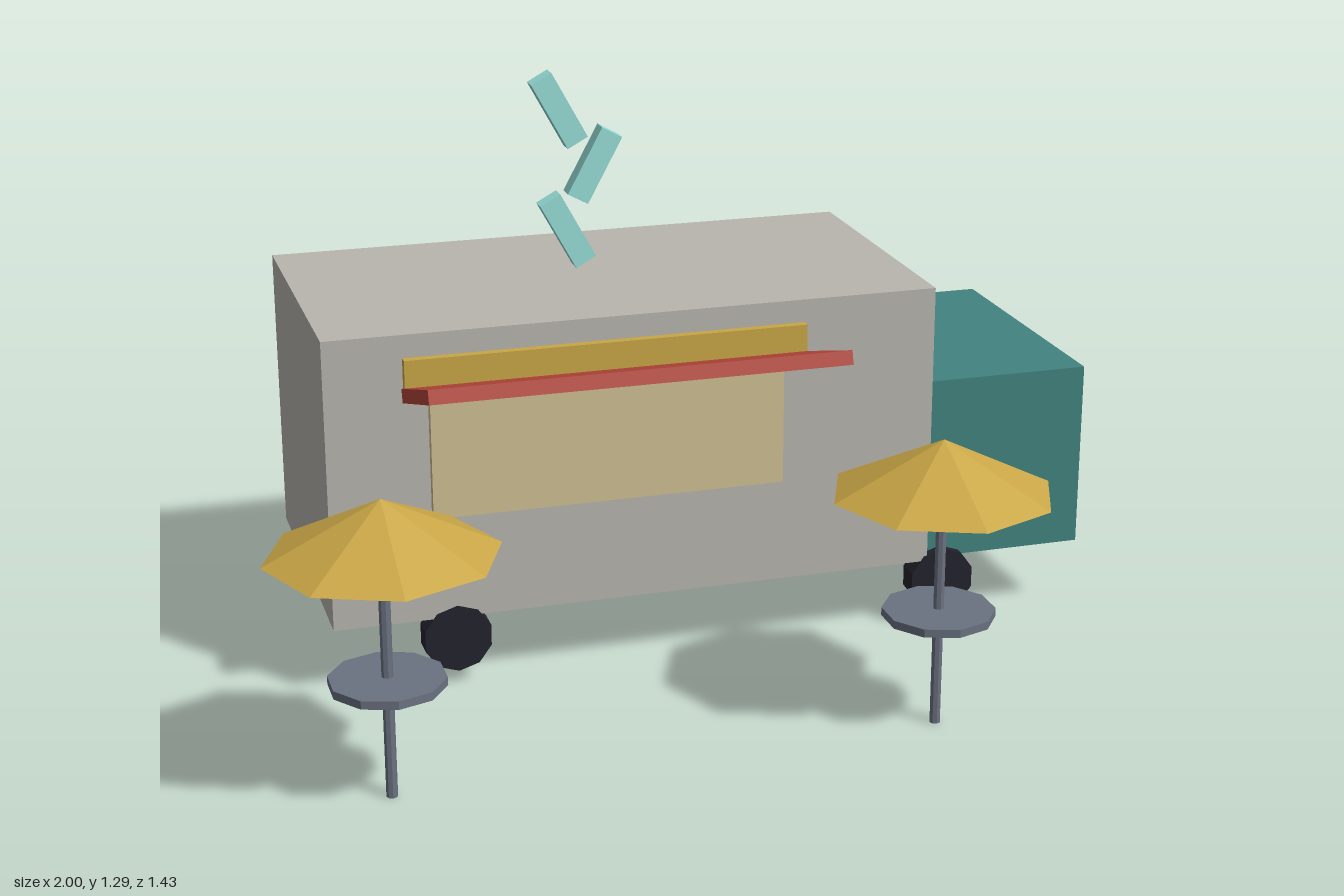
import * as THREE from 'three';

const mat = (name, color) => {
  const m = new THREE.MeshStandardMaterial({ color, flatShading: true });
  m.name = name;
  return m;
};

export function createModel() {
  const root = new THREE.Group();
  root.name = 'foodTruck';

  const grey = mat('bodyGrey', 0xb8b5ae);
  const teal = mat('cabTeal', 0x418380);
  const glass = mat('glassBlue', 0x34516e);
  const cream = mat('hatchCream', 0xcebf94);
  const gold = mat('gold', 0xc9a646);
  const red = mat('awningRed', 0xb5463a);
  const black = mat('tyreBlack', 0x22222c);
  const slate = mat('slate', 0x6b7280);
  const mint = mat('steamMint', 0x98dfd9);

  const add = (name, geometry, material, x, y, z, parent = root) => {
    const mesh = new THREE.Mesh(geometry, material);
    mesh.name = name;
    mesh.position.set(x, y, z);
    parent.add(mesh);
    return mesh;
  };
  // box given by its limits on each axis
  const box = (name, material, [x0, x1], [y0, y1], [z0, z1]) =>
    add(name, new THREE.BoxGeometry(x1 - x0, y1 - y0, z1 - z0), material,
      (x0 + x1) / 2, (y0 + y1) / 2, (z0 + z1) / 2);

  const midZ = -0.365;

  // truck
  box('body', grey, [-0.79, 0.595], [0.16, 0.82], [-0.715, -0.015]);
  box('cab', teal, [0.595, 0.98], [0.16, 0.592], [-0.697, -0.034]);
  box('windshield', glass, [0.975, 1.0], [0.35, 0.56], [-0.643, -0.088]);

  // serving side
  box('servingHatch', cream, [-0.565, 0.232], [0.403, 0.685], [-0.02, 0.004]);
  box('signBoard', gold, [-0.618, 0.285], [0.685, 0.768], [-0.02, 0.005]);
  const awning = add('awning', new THREE.BoxGeometry(0.908, 0.031, 0.312), red, -0.168, 0.733, 0.14);
  awning.rotation.x = -0.305;

  // wheels, flush with the sides
  const wheelGeo = new THREE.CylinderGeometry(0.078, 0.078, 0.055, 10).rotateX(Math.PI / 2);
  for (const x of [-0.515, 0.633])
    for (const side of [-1, 1])
      add('wheel', wheelGeo, black, x, 0.108, midZ + side * 0.325);

  // steam puffs rising in a zigzag
  const puffGeo = new THREE.BoxGeometry(0.053, 0.17, 0.042);
  [[-0.168, 0.925, 0.5], [-0.104, 1.073, -0.5], [-0.184, 1.203, 0.5]].forEach(([x, y, tilt]) => {
    add('steam', puffGeo, mint, x, y, midZ).rotation.z = tilt;
  });

  // tables with umbrellas
  for (const x of [-0.758, 0.423]) {
    const set = new THREE.Group();
    set.name = 'umbrellaTable';
    set.position.set(x, 0, 0.47);
    root.add(set);
    add('pole', new THREE.CylinderGeometry(0.012, 0.012, 0.54, 8), slate, 0, 0.27, 0, set);
    add('tableTop', new THREE.CylinderGeometry(0.121, 0.121, 0.018, 10), slate, 0, 0.257, 0, set);
    add('umbrella', new THREE.ConeGeometry(0.24, 0.118, 8), gold, 0, 0.586, 0, set);
  }

  return root;
}
